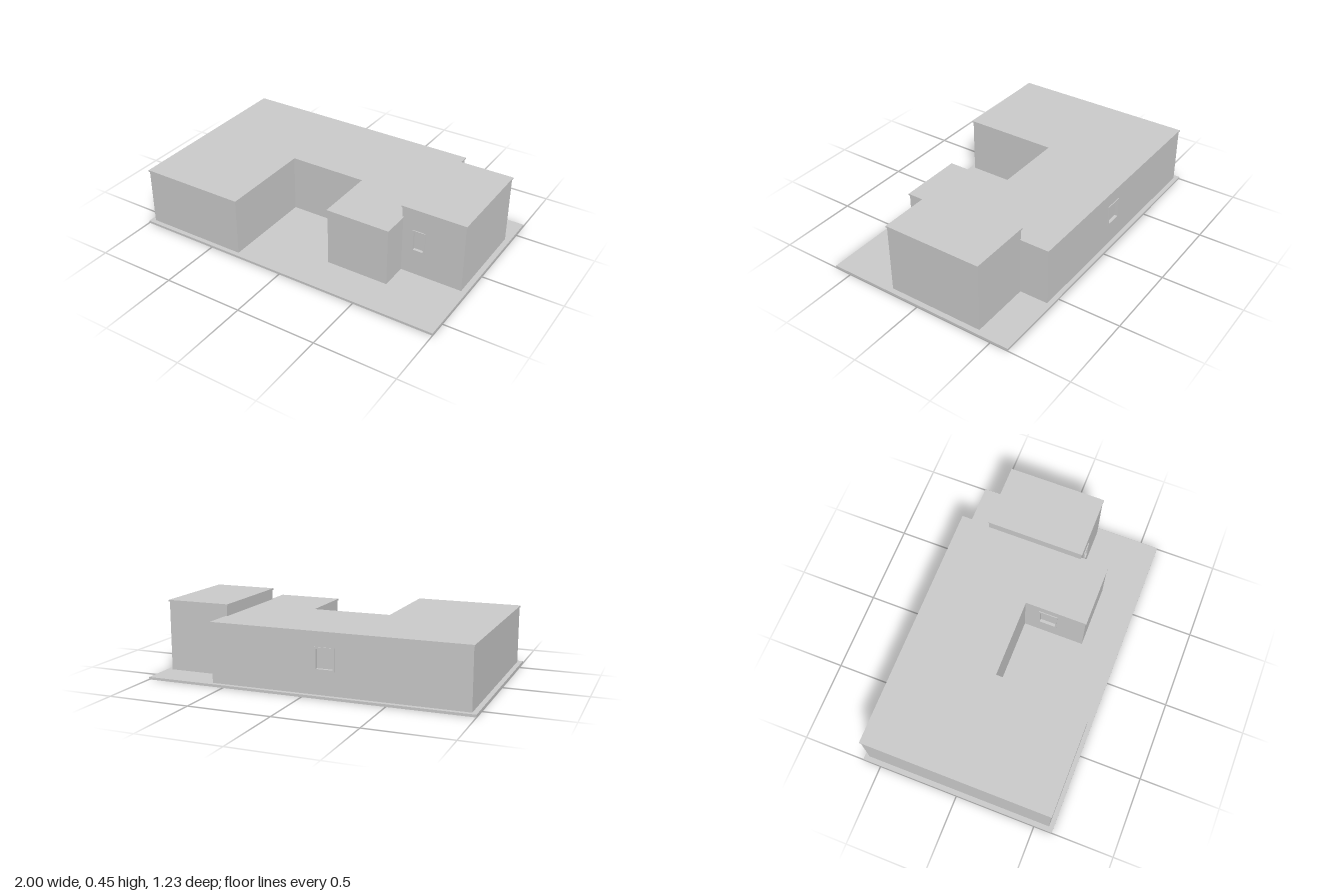
import * as THREE from 'three';

const BASE_TOP = 0.015;
const ROOF = 0.01; // roof slab thickness
const LIP = 0.005; // roof overhang
const WALL = 0.02; // wall thickness
const FRAME = 0.01; // window frame width

function rectPath(path, x0, y0, x1, y1) {
  path.moveTo(x0, y0);
  path.lineTo(x1, y0);
  path.lineTo(x1, y1);
  path.lineTo(x0, y1);
  path.closePath();
  return path;
}

const extrude = (shape, depth) => new THREE.ExtrudeGeometry(shape, { depth, bevelEnabled: false });

export function createModel() {
  const concrete = new THREE.MeshStandardMaterial({ color: 0xcccccc });
  concrete.name = 'pale grey';
  const model = new THREE.Group();
  model.name = 'house';

  function add(parent, name, geometry, x = 0, y = 0, z = 0) {
    const mesh = new THREE.Mesh(geometry, concrete);
    mesh.name = name;
    mesh.position.set(x, y, z);
    parent.add(mesh);
    return mesh;
  }

  // One wall from a to b, with an optional window [u0, y0, u1, y1]
  function addWall(parent, a, b, height, win) {
    const dx = b[0] - a[0], dz = b[1] - a[1];
    const side = new THREE.Group();
    side.name = 'wallSide';
    side.position.set(a[0], 0, a[1]);
    side.rotation.y = Math.atan2(-dz, dx);
    parent.add(side);
    const shape = rectPath(new THREE.Shape(), 0, BASE_TOP, Math.hypot(dx, dz), height);
    if (win) {
      const [u0, y0, u1, y1] = win;
      const hole = () => rectPath(new THREE.Path(), u0 + FRAME, y0 + FRAME, u1 - FRAME, y1 - FRAME);
      shape.holes.push(hole());
      const frame = rectPath(new THREE.Shape(), u0, y0, u1, y1);
      frame.holes.push(hole());
      add(side, 'windowFrame', extrude(frame, 0.005));
      add(side, 'windowPane', new THREE.BoxGeometry(u1 - u0, y1 - y0, 0.006),
        (u0 + u1) / 2, (y0 + y1) / 2, -WALL + 0.003);
    }
    add(side, 'wall', extrude(shape, WALL), 0, 0, -WALL);
  }

  // Block with walls round a right-angled footprint and an overhanging flat roof
  function addBlock(name, points, top, windows) {
    const block = new THREE.Group();
    block.name = name;
    model.add(block);
    const n = points.length;
    const normal = (i) => {
      const a = points[i % n], b = points[(i + 1) % n];
      return [-Math.sign(b[1] - a[1]), Math.sign(b[0] - a[0])];
    };
    points.forEach((p, i) => addWall(block, p, points[(i + 1) % n], top - ROOF, windows[i]));
    const outline = points.map(([x, z], i) => {
      const p = normal(i + n - 1), q = normal(i);
      return new THREE.Vector2(x + LIP * (p[0] + q[0]), -(z + LIP * (p[1] + q[1])));
    });
    const roof = extrude(new THREE.Shape(outline), ROOF);
    roof.rotateX(-Math.PI / 2);
    add(block, 'roof', roof, 0, top - ROOF, 0);
  }

  // Ground slab
  add(model, 'baseSlab', new THREE.BoxGeometry(2, BASE_TOP, 1.226), 0, BASE_TOP / 2, 0);

  // Main U-shaped building, windows keyed by wall number
  addBlock('mainBuilding', [
    [-0.97, 0.585], [-0.315, 0.585], [-0.315, -0.013], [0.185, -0.013],
    [0.185, 0.375], [0.58, 0.375], [0.58, -0.585], [-0.97, -0.585],
  ], 0.38, { 3: [0.09, 0.145, 0.21, 0.31], 6: [0.65, 0.155, 0.77, 0.29] });

  // Taller side block
  addBlock('tallBlock', [
    [0.573, 0.203], [0.967, 0.203], [0.967, -0.405], [0.573, -0.405],
  ], 0.452, { 0: [0.068, 0.173, 0.153, 0.313] });

  return model;
}
